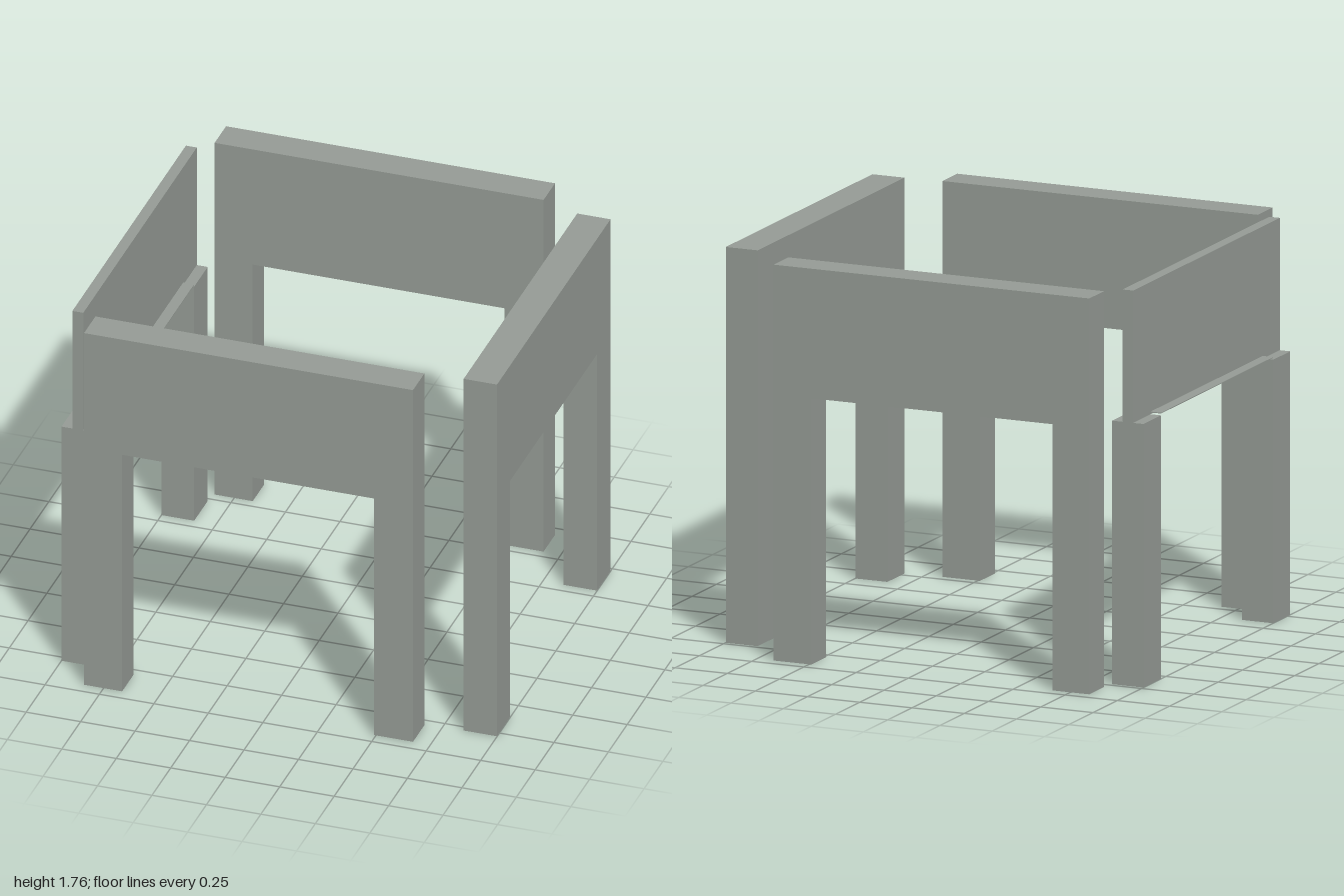
import * as THREE from 'three';

const HEIGHT = 1.765;
const OPENING = 1.187;

export function createModel() {
  const model = new THREE.Group();
  model.name = 'fourFrames';
  const stone = new THREE.MeshStandardMaterial({ color: 0x969c96 });
  stone.name = 'greenish grey';

  // Box given by its minimum and maximum corners
  const box = (parent, name, [x0, y0, z0], [x1, y1, z1]) => {
    const mesh = new THREE.Mesh(new THREE.BoxGeometry(x1 - x0, y1 - y0, z1 - z0), stone);
    mesh.position.set((x0 + x1) / 2, (y0 + y1) / 2, (z0 + z1) / 2);
    mesh.name = name;
    parent.add(mesh);
  };

  // Upside-down U outline: a deep top panel on two legs, extruded along +z
  const portal = (a, innerA, innerB, b, depth) => {
    const outline = [
      [a, 0], [innerA, 0], [innerA, OPENING], [innerB, OPENING],
      [innerB, 0], [b, 0], [b, HEIGHT], [a, HEIGHT],
    ].map(([x, y]) => new THREE.Vector2(x, y));
    return new THREE.ExtrudeGeometry(new THREE.Shape(outline), { depth, bevelEnabled: false });
  };

  // Front and back frames
  for (const [name, z] of [['frontFrame', 0.792], ['backFrame', -0.945]]) {
    const frame = new THREE.Mesh(portal(-0.84, -0.665, 0.49, 0.67, 0.152), stone);
    frame.position.z = z;
    frame.name = name;
    model.add(frame);
  }

  // Full-thickness side frame, turned so the outline runs along -z
  const side = new THREE.Mesh(portal(-0.78, -0.605, 0.55, 0.73, 0.153), stone);
  side.rotation.y = Math.PI / 2;
  side.position.x = 0.846;
  side.name = 'leftFrame';
  model.add(side);

  // Opposite side: thin panel standing on two thick legs
  const thin = new THREE.Group();
  thin.name = 'rightFrame';
  model.add(thin);
  box(thin, 'thinPanel', [-0.95, 1.175, -0.73], [-0.9, HEIGHT, 0.78]);
  for (const [name, z0, z1] of [['backLeg', -0.73, -0.55], ['frontLeg', 0.605, 0.78]]) {
    box(thin, name, [-1, 0, z0], [-0.85, 1.175, z1]);
  }
  // Thin ledges along the foot of the panel, between the legs
  for (const [name, x0, x1] of [['outerLedge', -1, -0.95], ['innerLedge', -0.9, -0.85]]) {
    box(thin, name, [x0, 1.183, -0.55], [x1, OPENING, 0.605]);
  }

  return model;
}
